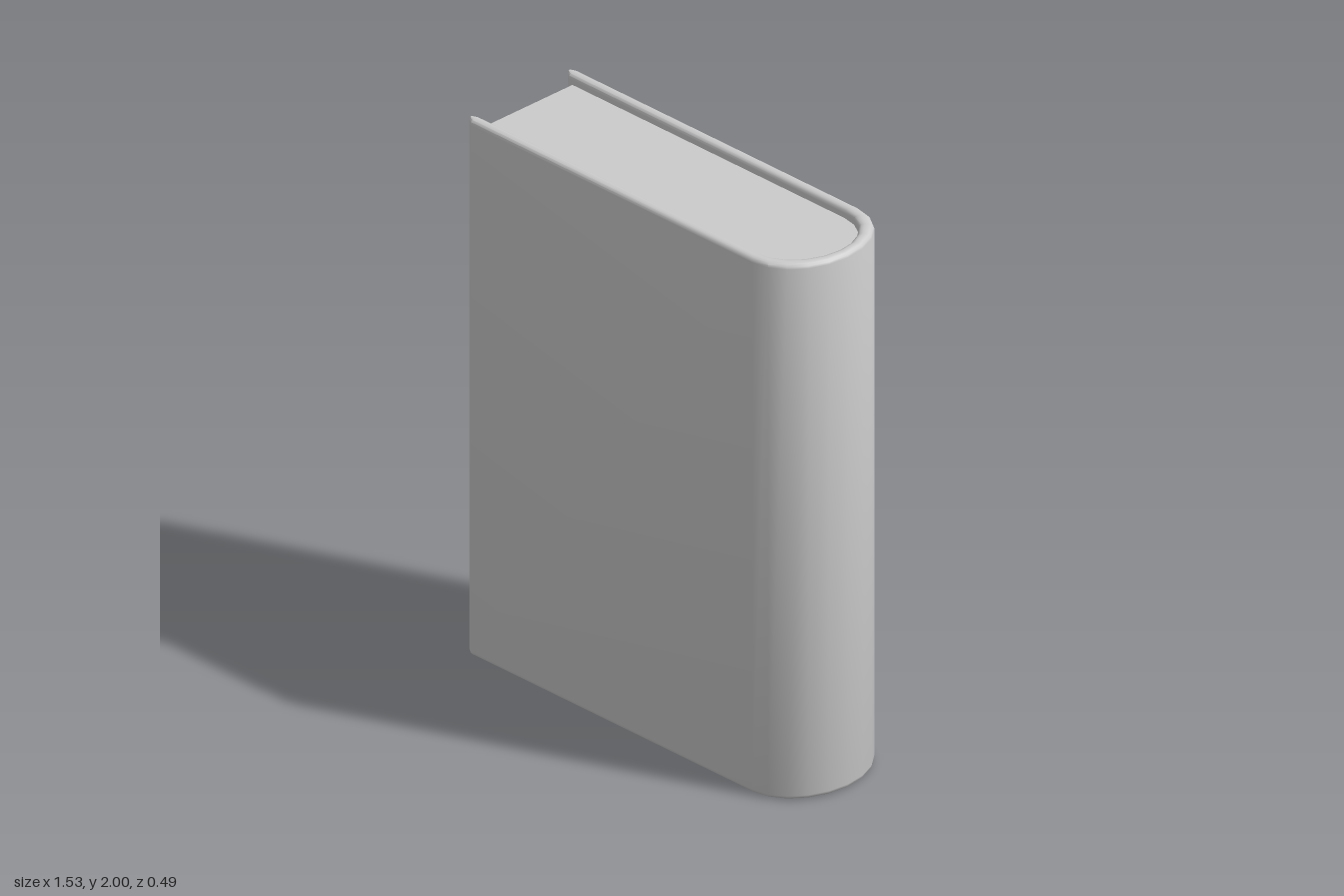
import * as THREE from 'three';
import { toCreasedNormals } from 'three/addons/utils/BufferGeometryUtils.js';

const HEIGHT = 2, ARC_STEPS = 10;
const FORE_EDGE = -0.765;   // open ends of the boards
const THICKNESS = 0.043, ROUND = 0.017;

// Point on the half ellipse of the spine, from front (+z) round to back (-z)
function spinePoint(centreX, rx, rz, i) {
  const a = Math.PI / 2 - (Math.PI * i) / ARC_STEPS;
  return [centreX + rx * Math.cos(a), rz * Math.sin(a)];
}
const outerSpine = (i) => spinePoint(0.57, 0.195, 0.247, i);
const innerSpine = (i) => spinePoint(0.54, 0.18, 0.204, i);

// Cover: a rounded upright section swept along the U of board, spine, board
function coverGeometry() {
  // Each station is [outer point, inner point] in plan; the ends are chamfered
  const end = (s) => [
    [[FORE_EDGE, s * 0.234], [FORE_EDGE, s * 0.217]],
    [[FORE_EDGE + 0.018, s * 0.247], [FORE_EDGE + 0.018, s * 0.204]],
  ];
  const stations = [...end(1)];
  for (let i = 0; i <= ARC_STEPS; i++) stations.push([outerSpine(i), innerSpine(i)]);
  stations.push(...end(-1).reverse());

  // Section as [across 0..1 from inside to outside, height]
  const section = [];
  const corners = [[1, 0, -90], [1, 1, 0], [0, 1, 90], [0, 0, 180]];
  for (const [t, top, start] of corners) {
    for (let k = 0; k <= 3; k++) {
      const a = THREE.MathUtils.degToRad(start + k * 30);
      const across = t ? THICKNESS - ROUND : ROUND;
      const up = top ? HEIGHT - ROUND : ROUND;
      section.push([(across + ROUND * Math.cos(a)) / THICKNESS, up + ROUND * Math.sin(a)]);
    }
  }

  const n = section.length, positions = [], index = [];
  for (const [o, p] of stations) {
    for (const [t, y] of section) {
      positions.push(p[0] + (o[0] - p[0]) * t, y, p[1] + (o[1] - p[1]) * t);
    }
  }
  for (let i = 0; i < stations.length - 1; i++) {
    for (let j = 0; j < n; j++) {
      const a = i * n + j, b = i * n + ((j + 1) % n), c = b + n, d = a + n;
      index.push(a, d, c, a, c, b);
    }
  }
  // End caps
  const last = (stations.length - 1) * n;
  for (let j = 1; j < n - 1; j++) {
    index.push(0, j, j + 1, last, last + j + 1, last + j);
  }
  const geometry = new THREE.BufferGeometry();
  geometry.setAttribute('position', new THREE.Float32BufferAttribute(positions, 3));
  geometry.setIndex(index);
  return toCreasedNormals(geometry, 0.65);
}

// Pages: a block filling the cover, set back at top, bottom and fore edge
function pagesGeometry() {
  const inset = 0.035;
  const shape = new THREE.Shape();
  shape.moveTo(FORE_EDGE + inset, -0.204);
  shape.lineTo(FORE_EDGE + inset, 0.204);
  for (let i = 0; i <= ARC_STEPS; i++) shape.lineTo(...innerSpine(i));
  shape.closePath();
  const geometry = new THREE.ExtrudeGeometry(shape, { depth: HEIGHT - 2 * inset, bevelEnabled: false });
  geometry.rotateX(-Math.PI / 2);
  geometry.translate(0, inset, 0);
  return toCreasedNormals(geometry, 0.65);
}

export function createModel() {
  const book = new THREE.Group();
  book.name = 'book';
  const material = new THREE.MeshStandardMaterial({ color: 0xcccccc });
  const parts = { cover: coverGeometry(), pages: pagesGeometry() };
  for (const [name, geometry] of Object.entries(parts)) {
    const mesh = new THREE.Mesh(geometry, material);
    mesh.name = name;
    book.add(mesh);
  }
  return book;
}
